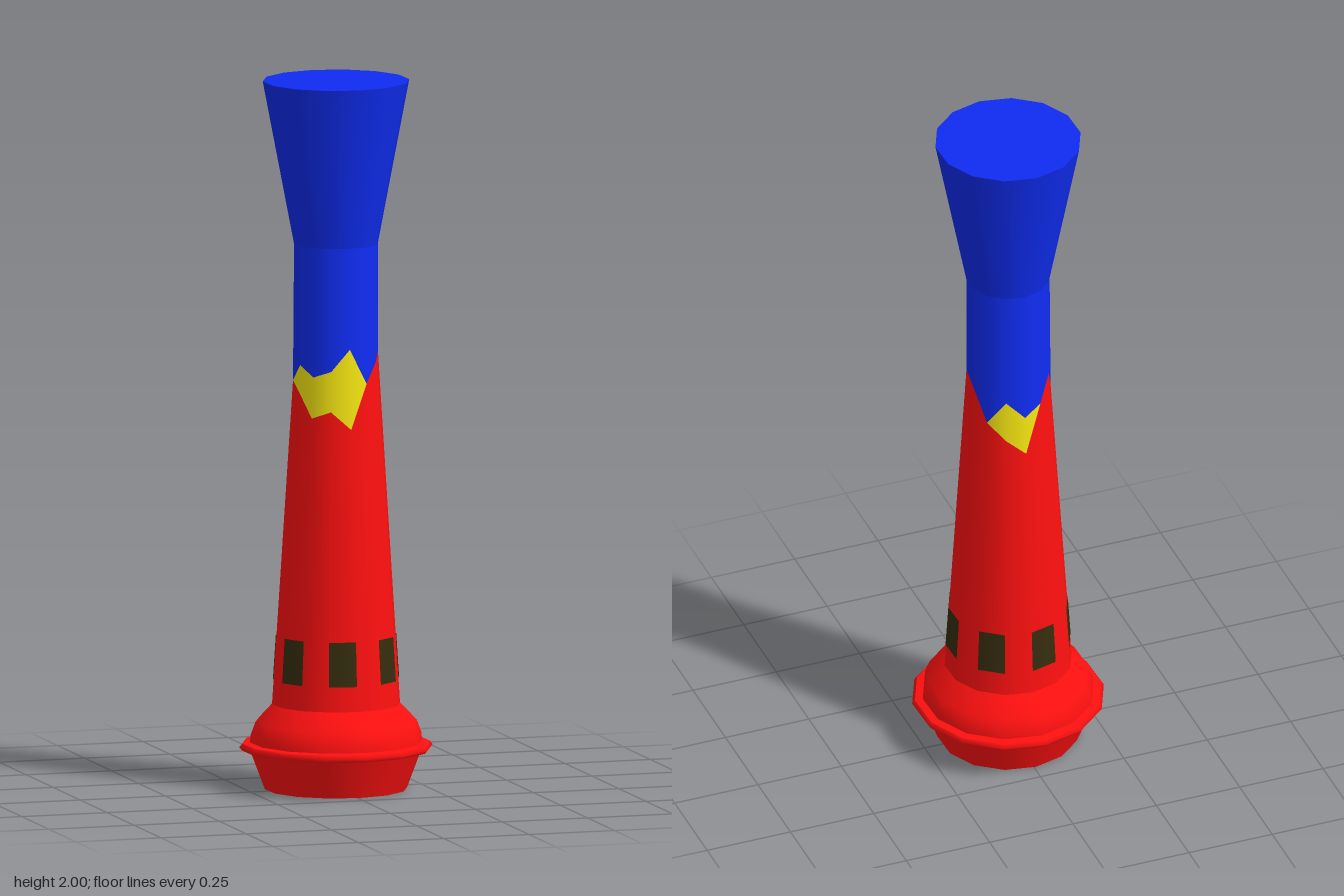
import * as THREE from 'three';

const SIDES = 14;
const STEP = (Math.PI * 2) / SIDES;
const PHI0 = 0.03;

const paint = (color) => new THREE.MeshStandardMaterial({ color, side: THREE.DoubleSide });
const red = paint(0xff1010);
const blue = paint(0x0f2cf0);
const yellow = paint(0xf5e612);
const dark = paint(0x362d0e);

// Radius of the tapering tube at a height
const tubeRadius = (y) => (y < 1.2 ? 0.18 - ((y - 0.24) * 0.062) / 0.96 : 0.118);

// Heights of the jagged colour borders, one per corner of the tube
const upperEdge = [1.255, 1.155, 1.21, 1.235, 1.205, 1.115, 1.187, 1.134, 1.16, 1.23, 1.155, 1.205, 1.175, 1.193];
const lowerEdge = [1.03, 1.155, 1.21, 1.235, 1.205, 1.115, 1.065, 1.017, 1.16, 1.23, 1.155, 1.13, 1.06, 1.08];

export function createModel() {
  const model = new THREE.Group();

  const add = (name, geometry, material) => {
    const mesh = new THREE.Mesh(geometry, material);
    mesh.name = name;
    model.add(mesh);
  };

  const lathe = (points, segments = SIDES, start = PHI0, length = Math.PI * 2) =>
    new THREE.LatheGeometry(points.map(([r, y]) => new THREE.Vector2(r, y)), segments, start, length);

  // Tube band whose two rims follow per-corner heights
  const band = (bottom, top) => {
    const geometry = lathe([[0.18, 0.24], [0.118, 1.2]]);
    const pos = geometry.attributes.position;
    for (let i = 0; i <= SIDES; i++) {
      [bottom, top].forEach((edge, j) => {
        const y = Array.isArray(edge) ? edge[i % SIDES] : edge;
        const r = tubeRadius(y);
        const phi = PHI0 + i * STEP;
        pos.setXYZ(i * 2 + j, r * Math.sin(phi), y, r * Math.cos(phi));
      });
    }
    return geometry;
  };

  // Base: foot, thin flange and rounded shoulder
  add('foot', lathe([[0.2, 0], [0.24, 0.106]]), red);
  add('flangeUnderside', lathe([[0.24, 0.106], [0.264, 0.11]]), red);
  add('flangeRim', lathe([[0.264, 0.11], [0.272, 0.12], [0.264, 0.13]]), red);
  add('flangeTop', lathe([[0.264, 0.13], [0.242, 0.133]]), red);
  add('shoulder', lathe([[0.242, 0.133], [0.24, 0.155], [0.227, 0.19], [0.18, 0.24]]), red);

  // Open underside with a thin lip and hollow inside
  add('footLip', lathe([[0.184, 0], [0.2, 0]]), red);
  add('hollow', lathe([[0.1, 1.15], [0.16, 0.26], [0.184, 0]]), red);
  add('hollowEnd', lathe([[0, 1.15], [0.1, 1.15]]), red);

  // Tube: lower part, jagged patches, upper part
  add('lowerTube', band(0.24, lowerEdge), red);
  add('jaggedPatches', band(lowerEdge, upperEdge), yellow);
  add('upperTube', band(upperEdge, 1.54), blue);

  // Flared bell with a flat end
  add('bell', lathe([[0.118, 1.54], [0.206, 2]]), blue);
  add('bellEnd', lathe([[0.206, 2], [0, 2]]), blue);

  // Openings on every second side of the tube
  for (let k = 0; k < SIDES / 2; k++) {
    const rows = [0.31, 0.435].map((y) => [tubeRadius(y) + 0.002, y]);
    add('opening' + (k + 1), lathe(rows, 1, PHI0 + (2 * k - 1) * STEP, STEP), dark);
  }
  return model;
}
